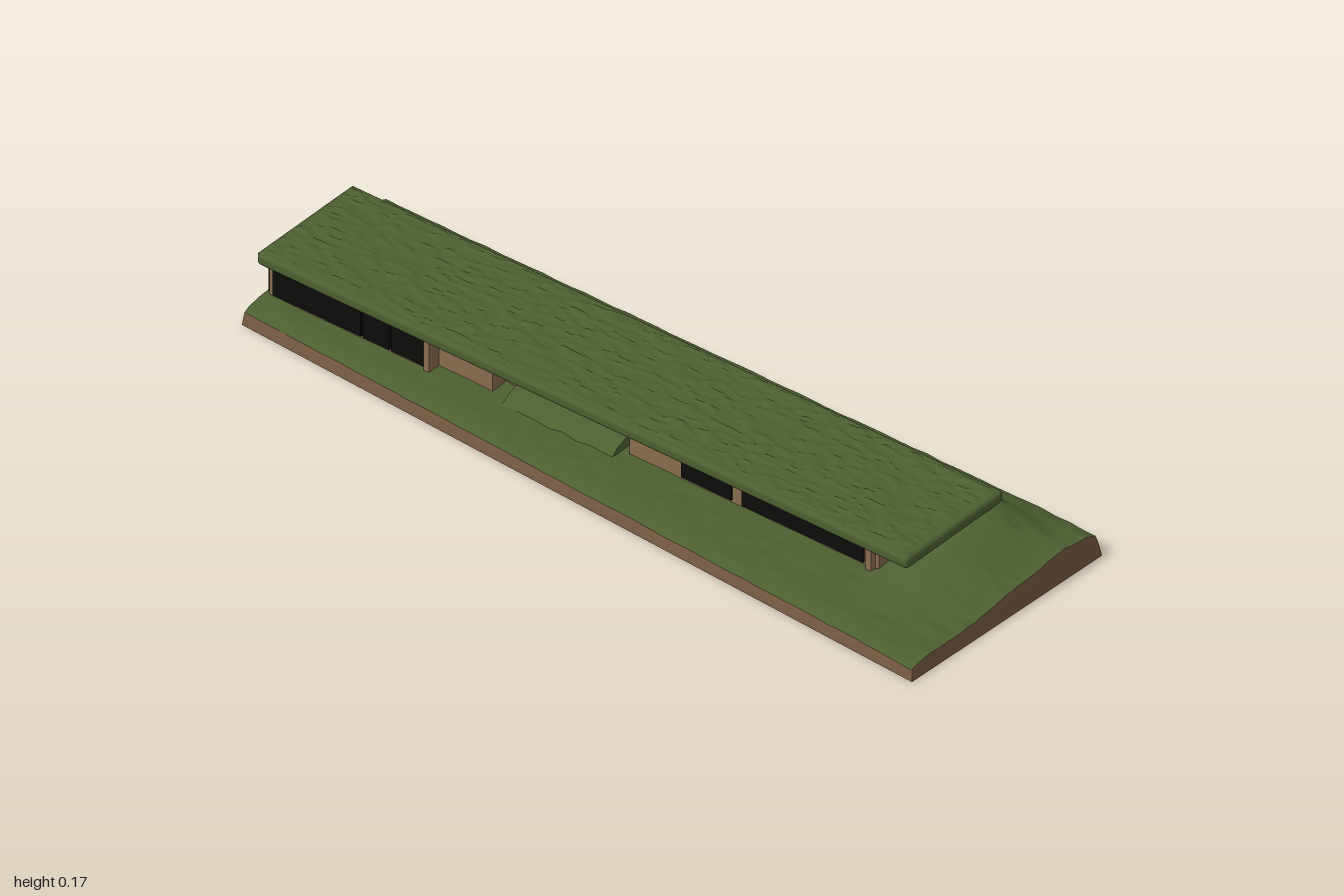
import * as THREE from 'three';
import { RoundedBoxGeometry } from 'three/addons/geometries/RoundedBoxGeometry.js';

const grass = new THREE.MeshStandardMaterial({ name: 'grass', color: 0x4d5f31 });
const earth = new THREE.MeshStandardMaterial({ name: 'earth', color: 0x765a43 });
const wall = new THREE.MeshStandardMaterial({ name: 'wall', color: 0x8a6c50 });
const glass = new THREE.MeshStandardMaterial({ name: 'darkGlass', color: 0x0c0d0b });

const lerp = THREE.MathUtils.lerp;
const smooth = THREE.MathUtils.smoothstep;

// Deterministic value noise
const hash = (i, j) => {
  const s = Math.sin(i * 127.1 + j * 311.7) * 43758.5453;
  return s - Math.floor(s);
};
function noise(x, z) {
  const i = Math.floor(x), j = Math.floor(z);
  const a = smooth(x - i, 0, 1), b = smooth(z - j, 0, 1);
  return lerp(lerp(hash(i, j), hash(i + 1, j), a), lerp(hash(i, j + 1), hash(i + 1, j + 1), a), b);
}

// Ground sections as [z, height], from back to front
const besideHouse = [[-0.31, 0.06], [-0.24, 0.09], [-0.2, 0.124], [-0.165, 0.139], [-0.14, 0.13], [-0.11, 0.045], [0.12, 0.045], [0.2, 0.042], [0.31, 0.04]];
const hillSection = [[-0.31, 0.06], [-0.24, 0.093], [-0.2, 0.122], [-0.15, 0.139], [-0.08, 0.126], [0, 0.104], [0.06, 0.078], [0.12, 0.056], [0.2, 0.043], [0.31, 0.04]];
const endSection = [[-0.31, 0.055], [-0.27, 0.068], [-0.2, 0.074], [-0.1, 0.061], [0, 0.052], [0.06, 0.042], [0.15, 0.036], [0.31, 0.036]];

function sample(section, z) {
  if (z <= section[0][0]) return section[0][1];
  for (let i = 1; i < section.length; i++) {
    const [z0, y0] = section[i - 1], [z1, y1] = section[i];
    if (z <= z1) return lerp(y0, y1, (z - z0) / (z1 - z0));
  }
  return section[section.length - 1][1];
}

function groundHeight(x, z, frontDistance) {
  let y = lerp(sample(besideHouse, z), sample(hillSection, z), smooth(x, 0.68, 0.74));
  y = lerp(y, sample(endSection, z), smooth(x, 0.8, 1.02) ** 0.8);
  y = Math.min(y, lerp(0.08, 0.15, smooth(x, -1, -0.94)));
  y -= 0.012 * Math.exp(-frontDistance / 0.015);
  return y + (noise(x * 25, z * 40) - 0.5) * 0.004;
}

// Grid surface; point(u, v) returns [x, y, z], u along x and v along z
function gridSurface(nu, nv, point) {
  const pos = [], idx = [];
  for (let j = 0; j <= nv; j++) for (let i = 0; i <= nu; i++) pos.push(...point(i / nu, j / nv));
  for (let j = 0; j < nv; j++) for (let i = 0; i < nu; i++) {
    const a = j * (nu + 1) + i, b = a + 1, c = a + nu + 1, d = c + 1;
    idx.push(a, c, b, b, c, d);
  }
  const g = new THREE.BufferGeometry();
  g.setAttribute('position', new THREE.Float32BufferAttribute(pos, 3));
  g.setIndex(idx);
  g.computeVertexNormals();
  return g;
}

function groundPoint(u, v) {
  const front = lerp(0.185, 0.308, u);
  const z = lerp(-0.303, front, v);
  const x = lerp(-0.998, lerp(0.992, 0.974, v), u);
  return [x, groundHeight(x, z, front - z), z];
}
function basePoint(u, v) {
  return [lerp(-1, lerp(1, 0.98, v), u), 0, lerp(-0.316, lerp(0.192, 0.315, u), v)];
}

export function createModel() {
  const model = new THREE.Group();
  model.name = 'earthShelteredHouse';

  const add = (name, geometry, material, parent = model) => {
    const mesh = new THREE.Mesh(geometry, material);
    mesh.name = name;
    parent.add(mesh);
    return mesh;
  };
  const box = (name, x0, x1, y0, y1, z0, z1, material, parent) =>
    add(name, new THREE.BoxGeometry(x1 - x0, y1 - y0, z1 - z0), material, parent)
      .position.set((x0 + x1) / 2, (y0 + y1) / 2, (z0 + z1) / 2);

  // Grassy ground and hill
  add('grassGround', gridSurface(160, 80, groundPoint), grass);

  // Earth sides, each running counterclockwise seen from above
  const sides = {
    frontEarth: t => [t, 1], rightEarth: t => [1, 1 - t],
    backEarth: t => [1 - t, 0], leftEarth: t => [0, t],
  };
  for (const [name, edge] of Object.entries(sides)) {
    add(name, gridSurface(120, 4, (t, s) => {
      const top = groundPoint(...edge(t)), bottom = basePoint(...edge(t));
      return top.map((c, k) => lerp(c, bottom[k], k === 1 ? s : s ** 0.8));
    }), earth);
  }
  add('earthUnderside', gridSurface(1, 1, (u, v) => basePoint(1 - u, v)), earth);

  // House walls: two wings and a recessed centre
  const house = new THREE.Group();
  house.name = 'house';
  model.add(house);
  box('leftWingWall', -0.985, -0.54, 0.035, 0.135, -0.15, 0.115, wall, house);
  box('entryWall', -0.54, -0.38, 0.035, 0.135, -0.15, 0.09, wall, house);
  box('patioBackWall', -0.38, 0, 0.035, 0.135, -0.15, 0.015, wall, house);
  box('rightWingWall', 0, 0.7, 0.035, 0.135, -0.15, 0.085, wall, house);
  box('soffit', -0.99, 0.76, 0.128, 0.137, -0.15, 0.128, wall, house);
  box('entryPillar', -0.545, -0.53, 0.04, 0.13, 0.09, 0.125, wall, house);
  box('endPillar', 0.675, 0.69, 0.04, 0.13, 0.085, 0.1, wall, house);

  // Patio parapet with a grass bank in front
  box('patioParapet', -0.37, -0.02, 0.04, 0.112, 0.03, 0.045, wall, house);
  const bank = new THREE.Shape([[0.05, 0.04], [0.125, 0.04], [0.1, 0.06], [0.05, 0.078]].map(p => new THREE.Vector2(-p[0], p[1])));
  const bankGeometry = new THREE.ExtrudeGeometry(bank, { depth: 0.31, bevelEnabled: false });
  bankGeometry.rotateY(Math.PI / 2);
  add('grassBank', bankGeometry, grass, house).position.x = -0.33;

  // Dark window panels
  const windows = [
    [-0.972, -0.725, 0.115], [-0.72, -0.645, 0.115], [-0.64, -0.545, 0.115],
    [0.15, 0.29, 0.085], [0.32, 0.66, 0.085],
  ];
  for (const [x0, x1, z] of windows) box('window', x0, x1, 0.052, 0.126, z, z + 0.006, glass, house);
  box('endWindow', -0.991, -0.985, 0.052, 0.126, 0.025, 0.112, glass, house);

  // Turf roof: rounded slab with an uneven grass top
  const slab = add('roofSlab', new RoundedBoxGeometry(1.828, 0.033, 0.335, 3, 0.012), grass);
  slab.position.set(-0.086, 0.1505, -0.0225);
  add('roofGrass', gridSurface(220, 60, (u, v) => {
    const x = lerp(-0.999, 0.824, u), z = lerp(-0.188, 0.14, v);
    const edge = Math.min(1, 60 * Math.min(u * 5, (1 - u) * 5, v, 1 - v) / 3);
    const y = 0.162 + edge * (0.002 + 0.009 * noise(x * 40, z * 110));
    return [x, y, z];
  }), grass);
  return model;
}
